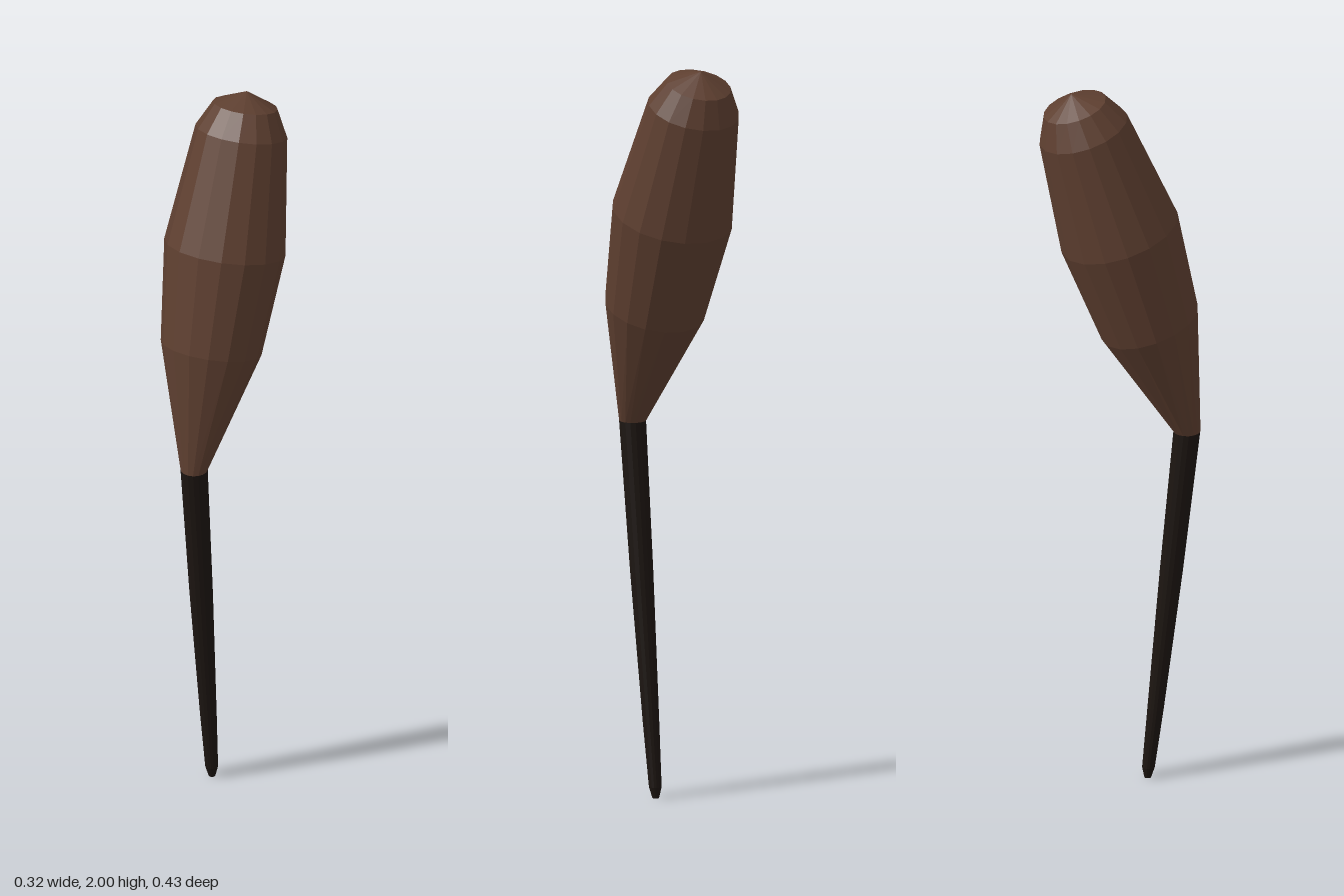
import * as THREE from 'three';

const SIDES = 16;

// Skin a stack of tilted circular rings: [y, z, radius, tilt], bottom to top.
// Tilt is the slope dy/dz direction angle of the ring about the x axis.
function loft(rings) {
  const pos = [];
  const idx = [];
  rings.forEach(([y, z, r, tilt]) => {
    for (let i = 0; i < SIDES; i++) {
      const a = (i / SIDES) * Math.PI * 2;
      const d = Math.cos(a) * r;
      pos.push(Math.sin(a) * r, y + d * Math.sin(tilt), z + d * Math.cos(tilt));
    }
  });
  for (let k = 0; k < rings.length - 1; k++) {
    for (let i = 0; i < SIDES; i++) {
      const j = (i + 1) % SIDES;
      const a = k * SIDES + i, b = k * SIDES + j;
      const c = a + SIDES, d = b + SIDES;
      // zero-radius rings collapse to a point, so skip their empty triangles
      if (rings[k][2] > 0) idx.push(a, b, d);
      if (rings[k + 1][2] > 0) idx.push(a, d, c);
    }
  }
  const geo = new THREE.BufferGeometry();
  geo.setAttribute('position', new THREE.Float32BufferAttribute(pos, 3));
  geo.setIndex(idx);
  const flat = geo.toNonIndexed();
  flat.computeVertexNormals();
  return flat;
}

function part(name, color, rings) {
  const mesh = new THREE.Mesh(
    loft(rings),
    new THREE.MeshStandardMaterial({ color, flatShading: true })
  );
  mesh.name = name;
  return mesh;
}

export function createModel() {
  const group = new THREE.Group();
  group.name = 'club';

  // Slim dark stem, tapering down to a blunt tip
  group.add(part('stem', 0x1c1511, [
    [0, 0.075, 0, 0],
    [0, 0.075, 0.009, 0],
    [0.03, 0.077, 0.017, 0],
    [0.2, 0.096, 0.022, 0],
    [0.6, 0.138, 0.031, 0],
    [1, 0.179, 0.036, 0],
    [1, 0.179, 0, 0],
  ]));

  // Swollen brown head, leaning backwards
  group.add(part('head', 0x5e3f30, [
    [1, 0.179, 0, 0],
    [1, 0.179, 0.036, 0],
    [1.322, 0.08, 0.134, 0.32],
    [1.588, 0, 0.161, 0.3],
    [1.893, -0.096, 0.122, 0.31],
    [1.96, -0.119, 0.086, 0.3],
    [1.998, -0.128, 0, 0.3],
  ]));

  return group;
}
